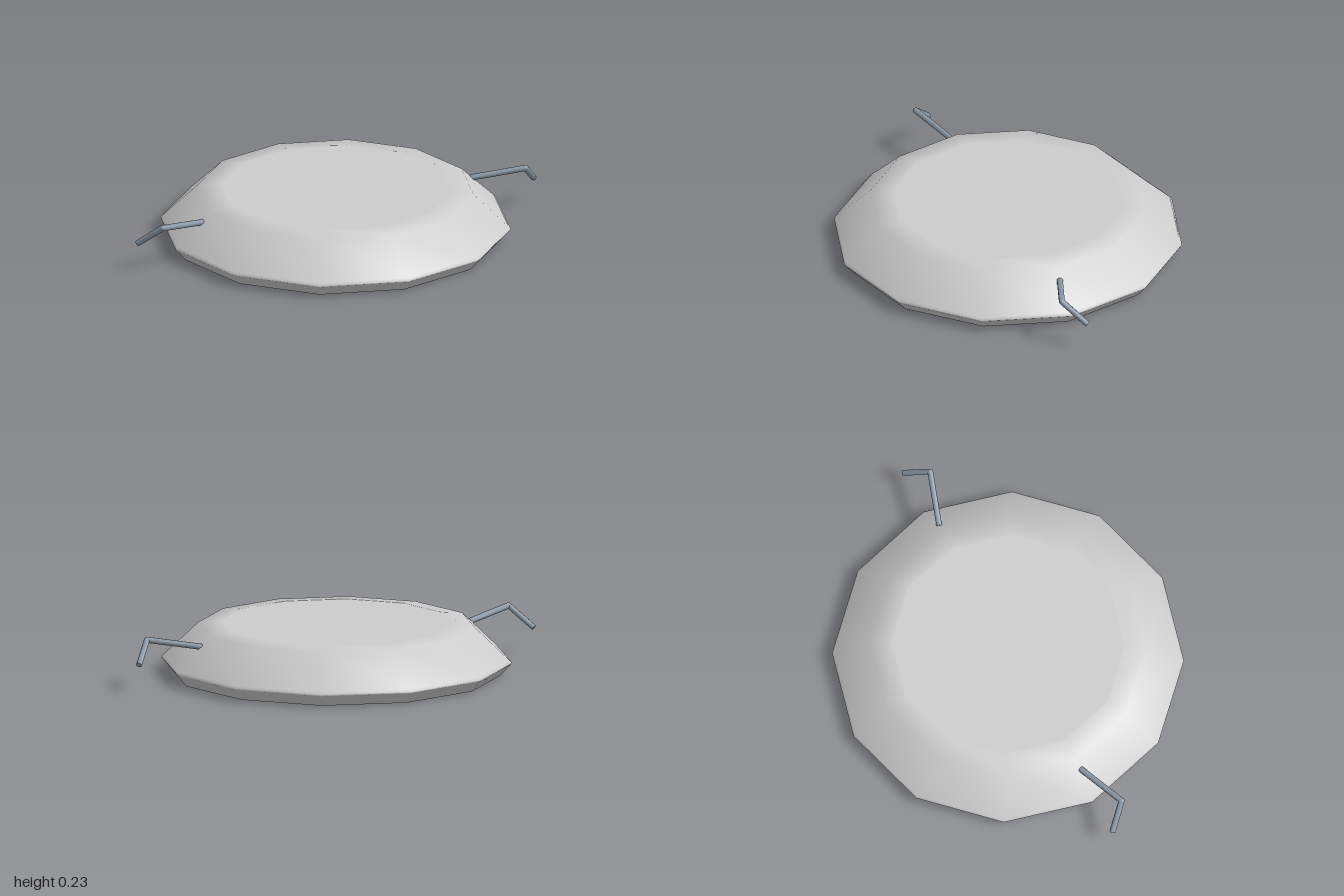
import * as THREE from 'three';

const SIDES = 12;

export function createModel() {
  const model = new THREE.Group();
  const grey = new THREE.MeshStandardMaterial({ color: 0xcccccc });
  const steel = new THREE.MeshStandardMaterial({ color: 0x8c9aa8 });

  // One smooth turned band; separate bands meet at sharp edges
  const band = (name, points) => {
    const profile = points.map(([r, y]) => new THREE.Vector2(r, y));
    const mesh = new THREE.Mesh(new THREE.LatheGeometry(profile, SIDES), grey);
    mesh.name = name;
    model.add(mesh);
  };

  // Twelve-sided body, from the recessed base up to the flat top
  band('basePanel', [[0, 0.02], [0.69, 0.02]]);
  band('baseLip', [[0.69, 0.02], [0.71, 0]]);
  band('baseRing', [[0.71, 0], [0.75, 0]]);
  band('lowerBevel', [[0.75, 0], [0.797, 0.053]]);
  band('rim', [[0.797, 0.053], [0.8, 0.06], [0.79, 0.069]]);
  band('slopedSide', [[0.79, 0.069], [0.63, 0.222], [0.53, 0.23]]);
  band('topPanel', [[0.53, 0.23], [0, 0.23]]);

  // Straight rod between two points
  const rod = (name, a, b) => {
    const dir = b.clone().sub(a);
    const mesh = new THREE.Mesh(new THREE.CylinderGeometry(0.014, 0.014, dir.length(), 8), steel);
    mesh.name = name;
    mesh.position.copy(a).add(b).multiplyScalar(0.5);
    mesh.quaternion.setFromUnitVectors(new THREE.Vector3(0, 1, 0), dir.normalize());
    return mesh;
  };

  // Bent arms, mirrored left and right
  for (const s of [1, -1]) {
    const root = new THREE.Vector3(s * 0.67, 0.175, 0.01);
    const elbow = new THREE.Vector3(s * 0.907, 0.213, 0.093);
    const tip = new THREE.Vector3(s * 0.99, 0.12, 0);
    const joint = new THREE.Mesh(new THREE.SphereGeometry(0.014, 8, 6), steel);
    joint.name = 'elbow';
    joint.position.copy(elbow);
    const arm = new THREE.Group();
    arm.name = s > 0 ? 'leftArm' : 'rightArm';
    arm.add(rod('upperArm', root, elbow), joint, rod('forearm', elbow, tip));
    model.add(arm);
  }

  return model;
}
